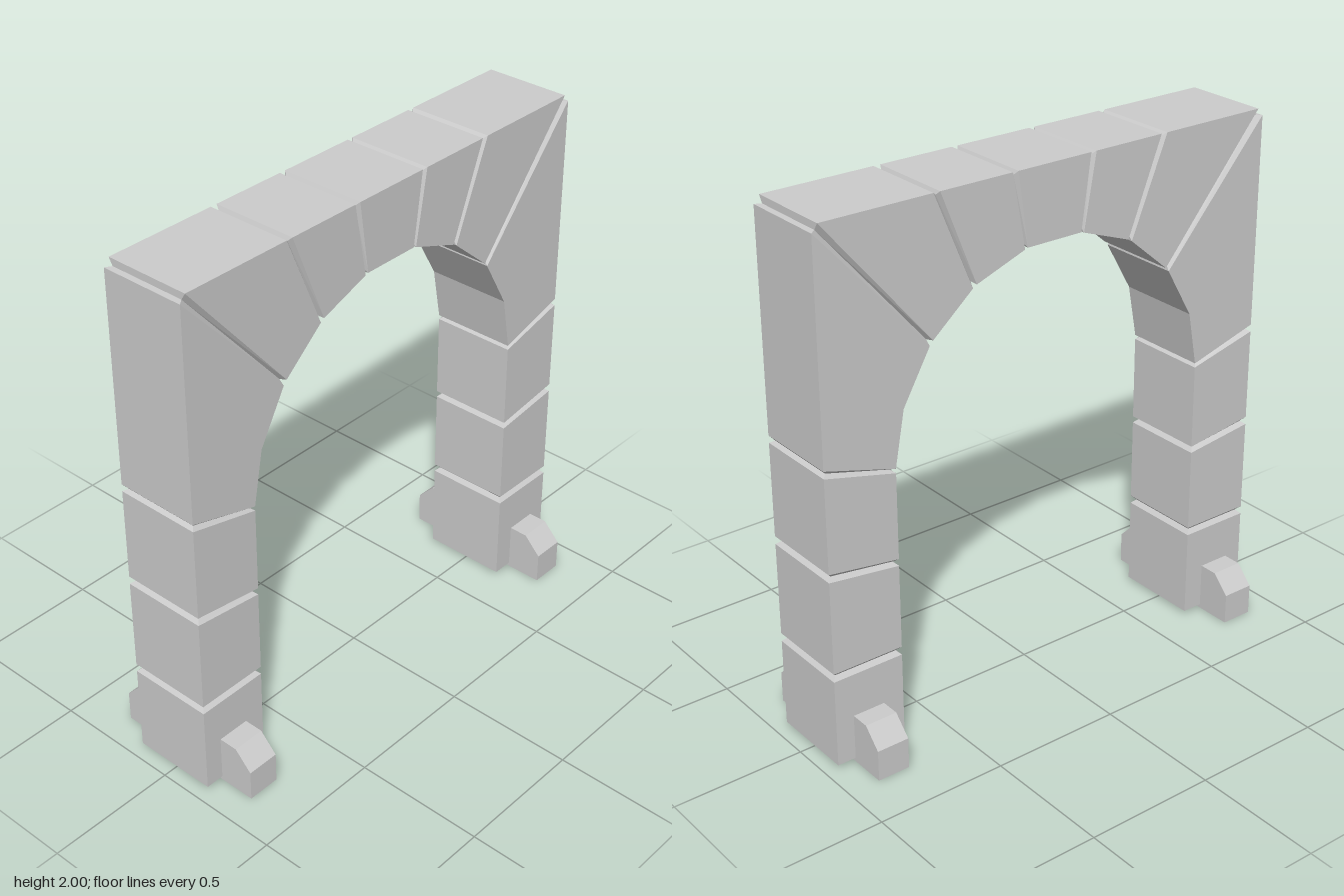
import * as THREE from 'three';

const HALF_WIDTH = 0.166, GROOVE = 0.016;
const material = new THREE.MeshStandardMaterial({ color: 0xcccccc, flatShading: true });

// A section spans the wall from its outer to its inner edge, as [z, y] points.
const sec = (oz, oy, iz, iy, w = HALF_WIDTH) => ({ o: [oz, oy], i: [iz, iy], w });

// Section at the bottom of a groove: halfway between two block ends, drawn in all round.
function groove(a, b) {
  const mid = (p, q) => new THREE.Vector2((p[0] + q[0]) / 2, (p[1] + q[1]) / 2);
  const o = mid(a.o, b.o), i = mid(a.i, b.i);
  const inward = i.clone().sub(o).setLength(GROOVE);
  o.add(inward);
  i.sub(inward);
  return sec(o.x, o.y, i.x, i.y, HALF_WIDTH - GROOVE);
}

// Closed loft through rectangular sections.
function loft(sections) {
  const pos = [], index = [];
  for (const { o, i, w } of sections) {
    pos.push(-w, o[1], o[0], w, o[1], o[0], w, i[1], i[0], -w, i[1], i[0]);
  }
  for (let s = 0; s < sections.length - 1; s++) {
    for (let k = 0; k < 4; k++) {
      const a = s * 4 + k, b = s * 4 + (k + 1) % 4;
      index.push(a, b, b + 4, a, b + 4, a + 4);
    }
  }
  const t = (sections.length - 1) * 4;
  index.push(0, 2, 1, 0, 3, 2, t, t + 1, t + 2, t, t + 2, t + 3);
  const g = new THREE.BufferGeometry();
  g.setAttribute('position', new THREE.Float32BufferAttribute(pos, 3));
  g.setIndex(index);
  const flat = g.toNonIndexed();
  flat.computeVertexNormals();
  return flat;
}

function mesh(name, geometry) {
  const m = new THREE.Mesh(geometry, material);
  m.name = name;
  return m;
}

export function createModel() {
  const model = new THREE.Group();
  model.name = 'stoneArch';

  // Stones of one side, from the ground up to the keystone
  const keyEnd = sec(0.154, 2, 0.115, 1.725);
  const stones = [
    ['baseStone', [sec(0.95, 0.015, 0.67, 0.015), sec(0.95, 0.356, 0.67, 0.356)]],
    ['lowerPillarStone', [sec(0.95, 0.388, 0.67, 0.388), sec(0.95, 0.746, 0.67, 0.711)]],
    ['upperPillarStone', [sec(0.95, 0.777, 0.67, 0.737), sec(0.95, 1.133, 0.67, 1.064)]],
    ['haunchStone', [sec(0.95, 1.161, 0.67, 1.081), sec(0.95, 1.6, 0.632, 1.288), sec(0.95, 1.972, 0.522, 1.482)]],
    ['cornerStone', [sec(0.928, 2, 0.508, 1.498), sec(0.494, 2, 0.344, 1.638)]],
    ['innerArchStone', [sec(0.468, 2, 0.328, 1.648), sec(0.177, 2, 0.127, 1.721)]],
  ];

  // Foot profile with a sloped top corner
  const footShape = new THREE.Shape([
    [0.13, 0], [0.308, 0], [0.308, 0.12], [0.24, 0.19], [0.13, 0.19],
  ].map(([x, y]) => new THREE.Vector2(x, y)));
  const footGeometry = new THREE.ExtrudeGeometry(footShape, { depth: 0.126, bevelEnabled: false });
  footGeometry.translate(0, 0, -0.063);

  // The two sides are the same, turned half round
  for (const side of ['front', 'back']) {
    const half = new THREE.Group();
    half.name = side + 'Side';
    if (side === 'back') half.rotation.y = Math.PI;
    stones.forEach(([name, body], n) => {
      const sections = [...body];
      const next = n + 1 < stones.length ? stones[n + 1][1][0] : keyEnd;
      if (n > 0) sections.unshift(groove(stones[n - 1][1].at(-1), body[0]));
      sections.push(groove(body.at(-1), next));
      half.add(mesh(name, loft(sections)));
    });
    for (const turn of [0, Math.PI]) {
      const foot = mesh(turn ? 'rightFoot' : 'leftFoot', footGeometry);
      foot.rotation.y = turn;
      foot.position.z = 0.815;
      half.add(foot);
    }
    model.add(half);
  }

  // Keystone, symmetric about the centre
  const mirror = (s) => sec(-s.o[0], s.o[1], -s.i[0], s.i[1], s.w);
  const keyGroove = groove(stones.at(-1)[1].at(-1), keyEnd);
  model.add(mesh('keystone', loft([keyGroove, keyEnd, mirror(keyEnd), mirror(keyGroove)])));

  return model;
}
